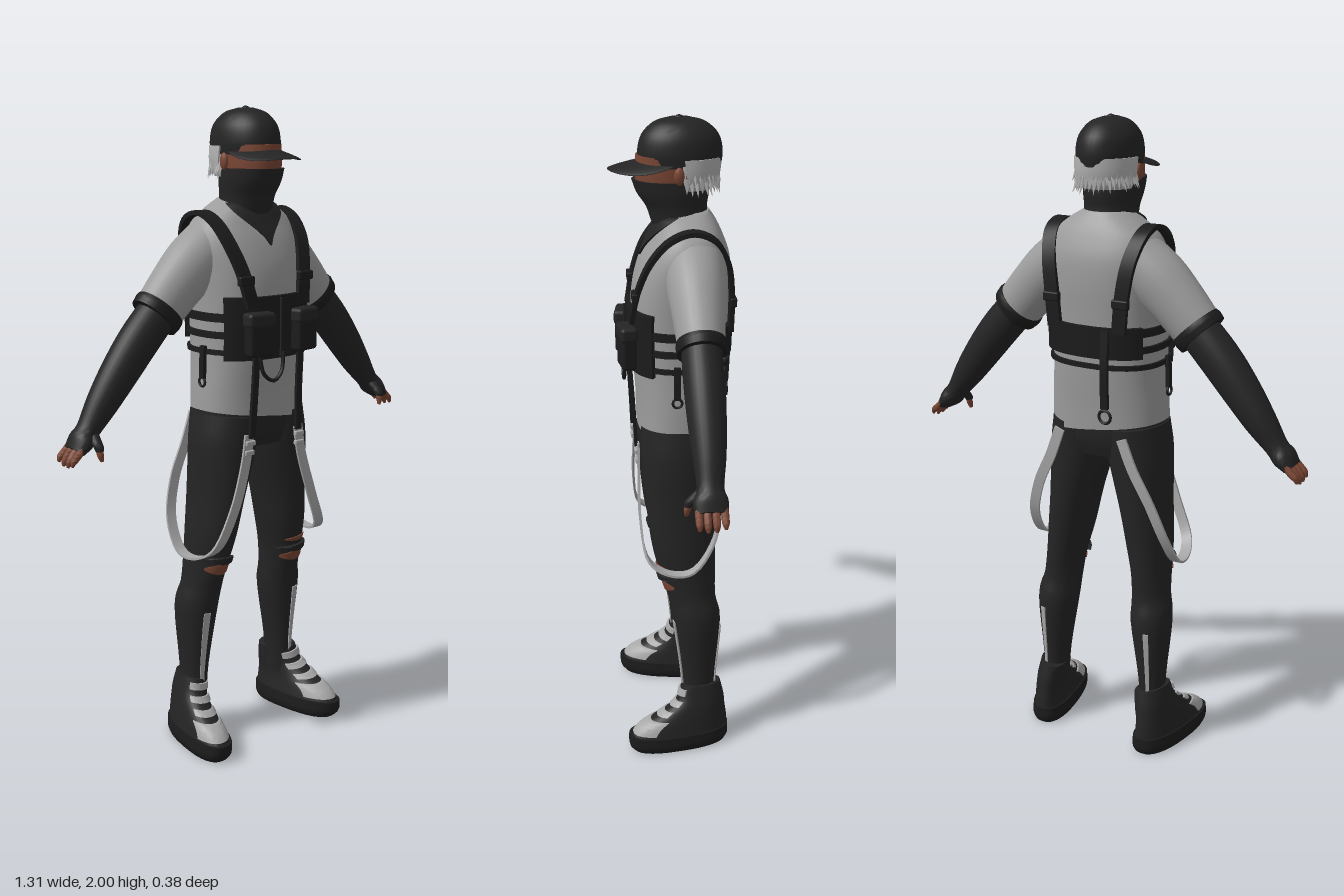
import * as THREE from 'three';
import { mergeGeometries, toCreasedNormals } from 'three/addons/utils/BufferGeometryUtils.js';
import { RoundedBoxGeometry } from 'three/addons/geometries/RoundedBoxGeometry.js';

const V = (x, y, z) => new THREE.Vector3(x, y, z);
const PI = Math.PI, FRONT = PI / 2, BACK = PI * 1.5;

// Joins rows of points into a surface, optionally closed round and capped
function skin(rings, closed = true) {
  const n = rings[0].length, pos = rings.flat().flatMap(p => [p.x, p.y, p.z]), idx = [];
  for (let i = 0; i < rings.length - 1; i++) {
    for (let j = 0; j < (closed ? n : n - 1); j++) {
      const k = (j + 1) % n, a = i * n + j, b = a + n, c = i * n + k, d = c + n;
      idx.push(a, b, c, c, b, d);
    }
  }
  if (closed) [0, rings.length - 1].forEach((r, end) => {
    const mid = rings[r].reduce((s, p) => s.add(p), V(0, 0, 0)).divideScalar(n), m = pos.length / 3;
    pos.push(mid.x, mid.y, mid.z);
    for (let j = 0; j < n; j++) {
      const a = r * n + j, b = r * n + (j + 1) % n;
      idx.push(m, end ? b : a, end ? a : b);
    }
  });
  const g = new THREE.BufferGeometry();
  g.setAttribute('position', new THREE.Float32BufferAttribute(pos, 3));
  g.setIndex(idx);
  return toCreasedNormals(g, 0.8);
}

// Smooth body through sections [x, y, z, radius across, radius in z]
function body(secs, power = 2) {
  const mid = new THREE.CatmullRomCurve3(secs.map(s => V(s[0], s[1], s[2])), false, 'catmullrom', 0.5);
  const rad = new THREE.CatmullRomCurve3(secs.map(s => V(s[3], s[4], 0)), false, 'catmullrom', 0.5);
  const pw = v => Math.sign(v) * Math.abs(v) ** (2 / power);
  const at = (t, a, grow = 0) => {
    const c = mid.getPoint(t), r = rad.getPoint(t), d = mid.getTangent(t).setZ(0).normalize();
    const u = pw(Math.cos(a)) * (r.x + grow), w = pw(Math.sin(a)) * (r.y + grow);
    return V(c.x + d.y * u, c.y - d.x * u, c.z + w);
  };
  const tAt = y => {
    let lo = 0, hi = 1;
    for (let i = 0; i < 30; i++) { const m = (lo + hi) / 2; if (mid.getPoint(m).y < y) lo = m; else hi = m; }
    return lo;
  };
  return {
    solid(seg = 28, t0 = 0, t1 = 1, grow = 0) {
      const rows = Math.max(2, Math.ceil((secs.length - 1) * 4 * (t1 - t0)));
      return skin(Array.from({ length: rows + 1 }, (_, i) =>
        Array.from({ length: seg }, (_, j) => at(t0 + (t1 - t0) * i / rows, j / seg * 2 * PI, grow))));
    },
    band(y0, y1, grow) { return this.solid(36, tAt(y0), tAt(y1), grow); },
    // Raised plate between two heights, around angle a
    patch(y0, y1, a, half, grow, taper = () => 1) {
      const t0 = tAt(y0), t1 = tAt(y1), R = 8, C = 18, rings = [];
      for (let i = -1; i <= R + 1; i++) {
        const k = Math.min(R, Math.max(0, i)) / R, row = [];
        for (let j = -1; j <= C + 1; j++) {
          const q = Math.min(C, Math.max(0, j)) / C * 2 - 1;
          const rim = i < 0 || i > R || j < 0 || j > C;
          row.push(at(t0 + (t1 - t0) * k, a + q * half * taper(k), rim ? 0 : grow));
        }
        rings.push(row);
      }
      return skin(rings, false);
    },
  };
}

// Flat strap along a path, its width lying along x
function ribbon(points, width, thick = 0.012, seg = 28) {
  const curve = new THREE.CatmullRomCurve3(points.map(p => V(...p)));
  return skin(Array.from({ length: seg + 1 }, (_, i) => {
    const c = curve.getPoint(i / seg), t = curve.getTangent(i / seg);
    const u = V(1, 0, 0).addScaledVector(t, -t.x).normalize(), w = u.clone().cross(t);
    return [[1, -1], [1, 1], [-1, 1], [-1, -1]].map(([p, q]) =>
      c.clone().addScaledVector(u, p * width / 2).addScaledVector(w, q * thick / 2));
  }));
}

function bend(geo, rule) {
  const p = geo.attributes.position, v = V(0, 0, 0);
  for (let i = 0; i < p.count; i++) { v.fromBufferAttribute(p, i); rule(v); p.setXYZ(i, v.x, v.y, v.z); }
  geo.computeVertexNormals();
  return geo;
}

export function createModel() {
  const model = new THREE.Group();
  model.name = 'figure';
  const paint = (name, color) => { const m = new THREE.MeshStandardMaterial({ color }); m.name = name; return m; };
  const cloth = paint('black cloth', 0x242424), gear = paint('gear black', 0x1c1c1c);
  const shirt = paint('shirt grey', 0x9c9c9c), webbing = paint('light webbing', 0xa8a8a8);
  const hairMat = paint('silver hair', 0xb4b4b4), skinMat = paint('skin', 0x7a4634);
  const add = (name, geo, mat, x = 0, y = 0, z = 0) => {
    const m = new THREE.Mesh(geo, mat);
    m.name = name; m.position.set(x, y, z); model.add(m);
    return m;
  };
  const box = (w, h, d, r = 0.008) => new RoundedBoxGeometry(w, h, d, 2, r);

  // Shirt with a slanted hem, and hips beneath
  const torso = body([[0, 1.05, -.02, .188, .13], [0, 1.15, -.022, .184, .133], [0, 1.28, -.023, .176, .142],
    [0, 1.42, -.023, .178, .147], [0, 1.52, -.03, .184, .145], [0, 1.6, -.04, .188, .13],
    [0, 1.66, -.045, .168, .105], [0, 1.7, -.045, .12, .085], [0, 1.73, -.045, .07, .065]], 2.4);
  add('shirt', toCreasedNormals(bend(torso.solid(40), v => {
    if (v.y < 1.2) v.y += (1.2 - v.y) / 0.15 * (0.025 - 0.13 * v.x);
  }), 0.8), shirt);
  add('hips', body([[0, .98, -.015, .17, .1], [0, 1.04, -.016, .183, .117], [0, 1.14, -.018, .178, .12]], 2.4).solid(), cloth);

  // Neck gaiter, face and hair
  add('gaiterBib', torso.patch(1.595, 1.72, FRONT, 1.2, .008, k => k ** 1.6), cloth);
  add('gaiter', body([[0, 1.66, -.04, .088, .085], [0, 1.7, -.025, .082, .086], [0, 1.74, -.015, .081, .09],
    [0, 1.78, -.004, .086, .106], [0, 1.82, .005, .087, .112]]).solid(), cloth);
  add('face', body([[0, 1.78, 0, .08, .1], [0, 1.83, 0, .083, .107], [0, 1.89, 0, .083, .105]]).solid(), skinMat);
  const scalp = body([[0, 1.795, -.045, .075, .07], [0, 1.82, -.043, .086, .088], [0, 1.85, -.04, .09, .098], [0, 1.885, -.035, .09, .105]]);
  add('hairBack', scalp.patch(1.795, 1.885, BACK, PI / 2 + .05, .006), hairMat);
  const tufts = [];
  for (let i = 0; i < 44; i++) {
    const a = PI - .15 + (PI + .3) * i / 43, c = Math.cos(a), s = Math.sin(a), wob = Math.sin(i * 7.3);
    const g = new THREE.ConeGeometry(.012, .055 + .012 * wob, 4);
    g.applyQuaternion(new THREE.Quaternion().setFromUnitVectors(V(0, 1, 0), V(c * (.35 + .2 * wob), -1, s * .3).normalize()));
    tufts.push(g.translate(c * .09, 1.825 + .016 * Math.sin(i * 3.1), -.043 + s * .093));
  }
  add('hairTufts', mergeGeometries(tufts), hairMat);

  // Cap
  add('capCrown', body([[0, 1.86, -.025, .089, .12], [0, 1.9, -.025, .092, .124], [0, 1.945, -.025, .083, .112],
    [0, 1.98, -.024, .055, .076], [0, 1.994, -.022, .02, .03]]).solid(36), cloth);
  add('capBrim', bend(new THREE.SphereGeometry(1, 32, 16).scale(.098, .008, .13), v => {
    v.y += 1.876 - .2 * v.z - 2.6 * v.x * v.x; v.z += .057;
  }), cloth);
  add('capButton', new THREE.SphereGeometry(.012, 12, 8).scale(1, .6, 1), cloth, 0, 1.993, -.022);

  // Chest rig: front panel, side straps, back panel, pouches
  add('rigFront', torso.patch(1.26, 1.45, FRONT, 1.0, .016), gear);
  add('rigBack', torso.patch(1.31, 1.405, BACK, 1.0, .014), gear);
  [[1.275, 1.29], [1.325, 1.345], [1.375, 1.4]].forEach(([a, b]) => add('rigSideStrap', torso.band(a, b, .009), gear));
  add('rigZip', box(.008, .18, .006, .002), cloth, 0, 1.355, .143);
  for (const x of [-.086, .093]) {
    const tilt = x * 1.6;
    add('pouch', box(.088, .12, .045, .012), gear, x, 1.335, .142).rotation.y = tilt;
    add('pouchFlap', box(.094, .045, .052, .012), cloth, x, 1.385, .142).rotation.y = tilt;
  }
  const cord = new THREE.CatmullRomCurve3([V(-.085, 1.29, .14), V(-.07, 1.22, .145), V(-.03, 1.195, .145), V(0, 1.22, .145), V(.012, 1.28, .14)]);
  add('cord', new THREE.TubeGeometry(cord, 24, .006, 6), gear);
  add('backTab', ribbon([[-.07, 1.4, -.175], [-.07, 1.28, -.184], [-.07, 1.16, -.18]], .024), gear);
  add('backRing', new THREE.TorusGeometry(.02, .005, 6, 16), gear, -.07, 1.135, -.18);

  for (const s of [1, -1]) {
    const m = list => list.map(([x, ...r]) => [x * s, ...r]);
    const side = s > 0 ? 'left' : 'right';
    const put = (name, geo, mat, x = 0, y = 0, z = 0) => add(side + name, geo, mat, x * s, y, z);

    put('Ear', new THREE.SphereGeometry(1, 12, 8).scale(.01, .026, .016), skinMat, .09, 1.84, -.015);

    // Rig shoulder strap and buckles
    put('ShoulderStrap', ribbon(m([[.1, 1.42, .128], [.12, 1.52, .108], [.143, 1.61, .07], [.152, 1.67, .015], [.153, 1.692, -.05],
      [.15, 1.668, -.112], [.135, 1.6, -.152], [.12, 1.5, -.166], [.11, 1.39, -.166]]), .044, .014, 40), gear);
    put('StrapBuckle', box(.056, .028, .02, .005), gear, .117, 1.5, .118);
    put('BackStrapBuckle', box(.054, .028, .02, .005), gear, .118, 1.48, -.17);
    put('SideTab', ribbon(m([[.186, 1.3, 0], [.189, 1.25, 0], [.19, 1.2, 0]]), .012, .02, 4), gear);
    put('SideRing', new THREE.TorusGeometry(.014, .004, 6, 14).rotateY(PI / 2), gear, .192, 1.19, 0);

    // Front hanging strap and long loop
    put('FrontStrap', ribbon(m([[.088, 1.3, .134], [.09, 1.15, .124], [.095, 1.02, .118]]), .022, .01, 8), gear);
    put('StrapClip', box(.036, .016, .014, .004), webbing, .1, 1.005, .117);
    put('StrapClip', box(.036, .016, .014, .004), webbing, .103, .975, .115);
    put('Loop', ribbon(m([[.1, 1.03, .112], [.115, .94, .112], [.16, .8, .112], [.215, .68, .09], [.24, .645, .03], [.247, .65, -.04],
      [.238, .74, -.105], [.2, .86, -.135], [.145, .97, -.146], [.11, 1.06, -.15]]), .034, .007, 44), webbing);

    // Arm
    const z = -.055;
    put('Sleeve', body(m([[.1, 1.6, z, .088, .09], [.18, 1.54, z, .09, .086], [.25, 1.475, z, .083, .076], [.315, 1.405, z, .077, .067]])).solid(), shirt);
    put('SleeveCuff', body(m([[.302, 1.419, z, .081, .07], [.312, 1.408, z, .084, .073], [.328, 1.392, z, .081, .07]])).solid(), gear);
    put('ArmCover', body(m([[.3, 1.42, z, .062, .058], [.385, 1.33, z, .063, .059], [.455, 1.245, z, .058, .055], [.52, 1.16, z, .048, .047],
      [.572, 1.092, -.052, .034, .038], [.597, 1.064, -.05, .033, .049], [.622, 1.037, -.05, .02, .046]])).solid(), cloth);
    put('ThumbCover', body(m([[.572, 1.085, -.03, .018, .02], [.574, 1.055, .002, .015, .016], [.573, 1.04, .008, .012, .012]])).solid(12), cloth);
    put('Thumb', body(m([[.574, 1.045, .006, .01, .01], [.573, 1.028, .011, .01, .01], [.57, 1.01, .013, .005, .006]])).solid(10), skinMat);
    [-.086, -.062, -.038, -.015].forEach((fz, i) => {
      const tip = [.008, 0, 0, .006][i];
      put('Finger', body(m([[.612, 1.05, fz, .012, .011], [.633, 1.03, fz, .011, .011], [.647, 1.01 + tip, fz, .01, .01],
        [.653, .995 + tip, fz, .004, .004]])).solid(10), skinMat);
    });

    // Trouser leg with torn knee and shin stripes
    const leg = body(m([[.185, .12, -.07, .036, .05], [.182, .25, -.07, .043, .055], [.175, .44, -.065, .065, .075], [.165, .52, -.05, .059, .075],
      [.158, .6, -.037, .058, .087], [.145, .7, -.025, .068, .1], [.128, .82, -.02, .077, .11], [.105, .98, -.015, .098, .118], [.095, 1.08, -.018, .093, .12]]));
    put('Leg', leg.solid(), cloth);
    const lens = k => Math.sin(PI * (.06 + .88 * k));
    (s > 0 ? [[.55, .585, .9], [.625, .64, .7]] : [[.575, .61, .9]]).forEach(([a, b, w]) => put('KneeTear', leg.patch(a, b, FRONT, w, .004, lens), skinMat));
    put('KneeFlap', leg.patch(s > 0 ? .587 : .612, s > 0 ? .61 : .635, FRONT, 1.1, .012, lens), cloth);
    put('ShinStripe', leg.patch(.2, .44, FRONT - s * .18, .17, .004), webbing);
    put('CalfStripe', leg.patch(.2, .42, BACK + s * .25, .13, .004), webbing);

    // Shoe, toed out
    const toeOut = g => toCreasedNormals(bend(g, v => { v.x += s * .15 * (v.z + .07); }), 0.8);
    const upper = body(m([[.205, .045, -.004, .062, .162], [.205, .085, -.02, .055, .143], [.203, .12, -.05, .05, .108],
      [.197, .16, -.075, .047, .079], [.188, .21, -.078, .044, .064]]), 2.3);
    put('ShoeSole', toeOut(body(m([[.205, 0, -.007, .06, .152], [.205, .02, -.004, .067, .164], [.205, .055, -.003, .064, .165]]), 2.5).solid(32)), gear);
    put('ShoeUpper', toeOut(upper.solid(32)), cloth);
    put('ToePanel', toeOut(upper.patch(.064, .104, FRONT, 1.05, .005)), webbing);
    [[.117, .13], [.145, .16], [.178, .198]].forEach(([a, b]) => put('ShoeStrap', toeOut(upper.patch(a, b, FRONT, .8, .006)), webbing));
  }
  return model;
}
